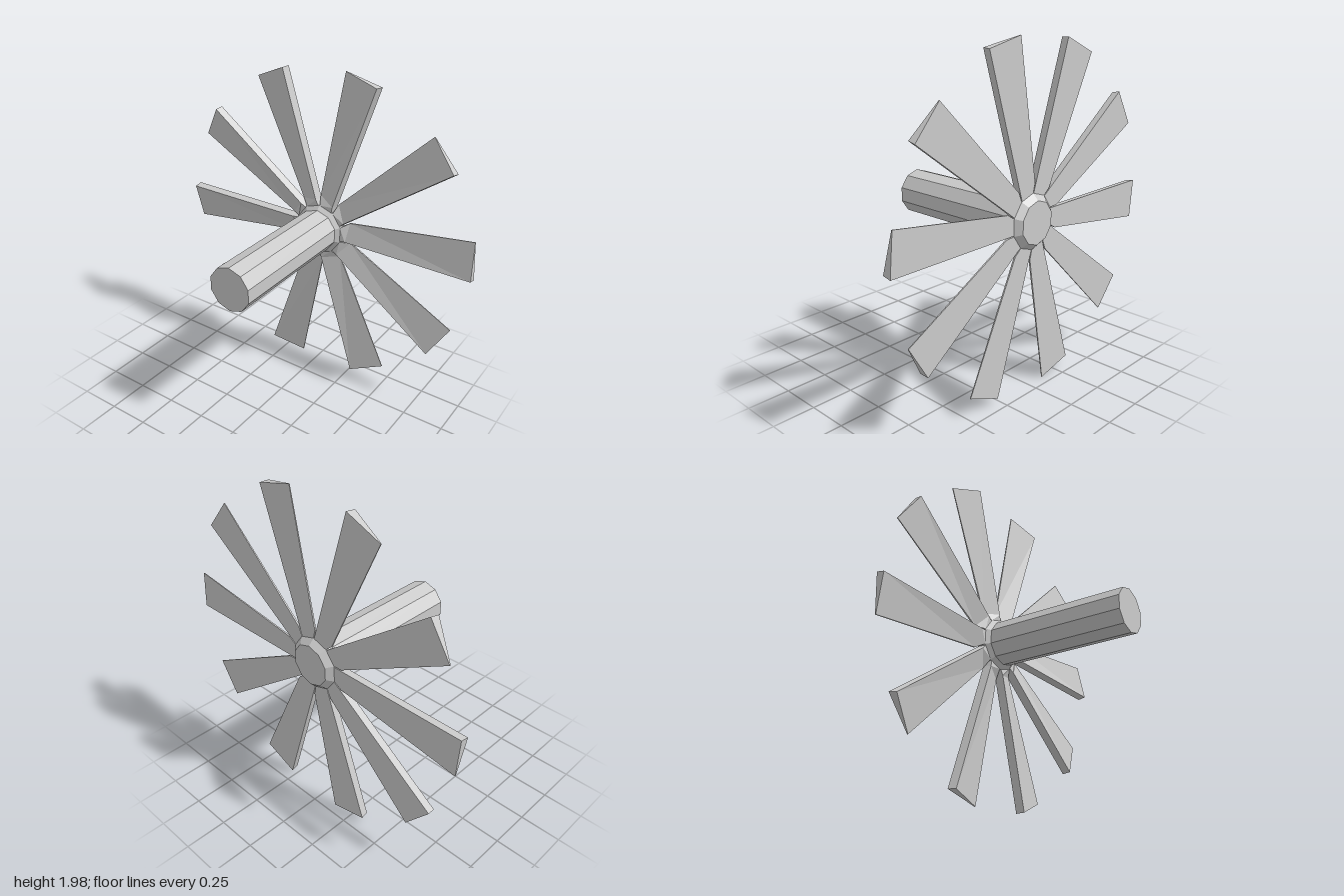
import * as THREE from 'three';

const BLADES = 10;

// Ten-sided shaft with a flared hub near its back end
function hubGeometry() {
  const profile = [
    [0, -0.48], [0.125, -0.48], [0.16, -0.445], [0.16, -0.4], [0.135, -0.375], [0.135, 0.48], [0, 0.48],
  ].map(([r, y]) => new THREE.Vector2(r, y));
  return new THREE.LatheGeometry(profile, BLADES).rotateX(Math.PI / 2);
}

// Wedge blade lofted along +x: thick on its lower edge, sharp on its upper one
function bladeGeometry() {
  // corners of each section: back low, back high, front high, front low
  const sections = [
    [[0.145, -0.045, -0.445], [0.15, 0.048, -0.445], [0.15, 0.048, -0.4], [0.145, -0.04, -0.4]],
    [[0.19, -0.045, -0.445], [0.2, 0.08, -0.445], [0.2, 0.08, -0.435], [0.19, -0.035, -0.395]],
    [[1, -0.045, -0.445], [0.98, 0.19, -0.445], [0.98, 0.19, -0.44], [1, -0.035, -0.395]],
  ];
  const positions = [];
  const quad = (a, b, c, d) => positions.push(...a, ...b, ...c, ...a, ...c, ...d);
  for (let s = 0; s < sections.length - 1; s++) {
    const [inner, outer] = [sections[s], sections[s + 1]];
    for (let i = 0; i < 4; i++) {
      const j = (i + 1) % 4;
      quad(inner[i], inner[j], outer[j], outer[i]);
    }
  }
  quad(...sections[2]); // tip
  const geometry = new THREE.BufferGeometry();
  geometry.setAttribute('position', new THREE.Float32BufferAttribute(positions, 3));
  geometry.computeVertexNormals();
  return geometry;
}

export function createModel() {
  const material = new THREE.MeshStandardMaterial({ color: 0xcccccc, flatShading: true });
  const model = new THREE.Group();
  model.name = 'fanWheel';

  const shaft = new THREE.Mesh(hubGeometry(), material);
  shaft.name = 'shaftAndHub';
  shaft.position.y = 1;
  model.add(shaft);

  // Blades, one on each side of the hub
  const geometry = bladeGeometry();
  for (let i = 0; i < BLADES; i++) {
    const blade = new THREE.Mesh(geometry, material);
    blade.name = `blade${i + 1}`;
    blade.position.y = 1;
    blade.rotation.z = (i / BLADES) * Math.PI * 2;
    model.add(blade);
  }
  return model;
}
